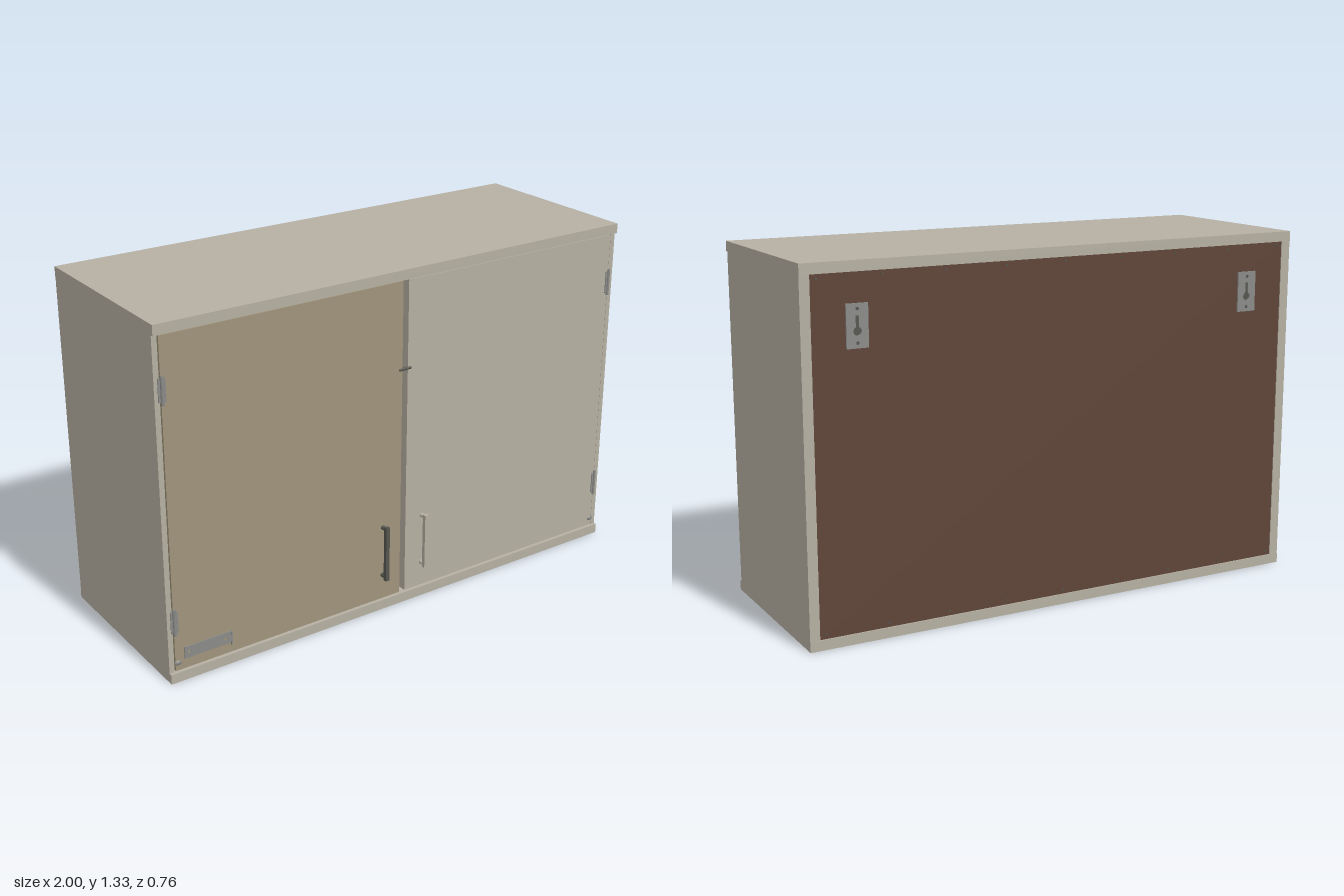
import * as THREE from 'three';

const mat = (color) => new THREE.MeshStandardMaterial({ color });
const BODY = mat(0xb5b0a2), TAN = mat(0xa0947b), BROWN = mat(0x5f4538);
const METAL = mat(0x8a8a88), DARK = mat(0x55554f);

export function createModel() {
  const cabinet = new THREE.Group();
  cabinet.name = 'wallCabinet';

  const add = (name, geometry, material, x = 0, y = 0, z = 0, parent = cabinet) => {
    const mesh = new THREE.Mesh(geometry, material);
    mesh.name = name;
    mesh.position.set(x, y, z);
    parent.add(mesh);
    return mesh;
  };
  // Box given by its lower and upper limits on each axis
  const box = (name, material, [x0, x1], [y0, y1], [z0, z1], parent) =>
    add(name, new THREE.BoxGeometry(x1 - x0, y1 - y0, z1 - z0), material,
      (x0 + x1) / 2, (y0 + y1) / 2, (z0 + z1) / 2, parent);
  // Flat plate with holes, lying in the xy plane
  const plate = (w, h, depth, holes) => {
    const shape = new THREE.Shape();
    shape.moveTo(-w / 2, -h / 2).lineTo(w / 2, -h / 2).lineTo(w / 2, h / 2).lineTo(-w / 2, h / 2).closePath();
    shape.holes.push(...holes);
    return new THREE.ExtrudeGeometry(shape, { depth, bevelEnabled: false, curveSegments: 8 });
  };

  // Carcass
  box('topPanel', BODY, [-1, 1], [1.295, 1.333], [-0.378, 0.353]);
  box('bottomPanel', BODY, [-1, 1], [0, 0.038], [-0.378, 0.353]);
  for (const s of [-1, 1]) {
    const side = box('sidePanel', BODY, [0.98, 1], [0.038, 1.295], [-0.376, 0.341]);
    const inner = box('sideInnerLayer', BODY, [0.963, 0.98], [0.038, 1.295], [-0.376, 0.305]);
    side.position.x *= s;
    inner.position.x *= s;
  }
  box('backPanel', BROWN, [-0.963, 0.963], [0.038, 1.295], [-0.373, -0.36]);
  box('shelf', BODY, [-0.963, 0.963], [0.628, 0.662], [-0.36, 0.28]);

  // Doors
  box('rightDoor', TAN, [-0.978, -0.013], [0.044, 1.291], [0.31, 0.347]);
  box('leftDoor', BODY, [0.011, 0.973], [0.044, 1.291], [0.31, 0.347]);

  // Bow handles
  for (const [x, material] of [[-0.093, DARK], [0.087, BODY]]) {
    const handle = new THREE.Group();
    handle.name = 'handle';
    cabinet.add(handle);
    box('handleBar', material, [x - 0.008, x + 0.008], [0.133, 0.356], [0.366, 0.381], handle);
    for (const y of [0.145, 0.345]) {
      const post = add('handlePost', new THREE.CylinderGeometry(0.007, 0.009, 0.024, 12), material, x, y, 0.357, handle);
      post.rotation.x = Math.PI / 2;
    }
  }

  // Hinges with a barrel and two leaves
  for (const s of [-1, 1]) {
    for (const y of [0.238, 1.102]) {
      const hinge = new THREE.Group();
      hinge.name = 'hinge';
      hinge.position.set(s * 0.974, y, 0);
      cabinet.add(hinge);
      add('hingeBarrel', new THREE.CylinderGeometry(0.006, 0.006, 0.105, 12), METAL, 0, 0, 0.349, hinge);
      add('hingeLeaf', new THREE.BoxGeometry(0.009, 0.085, 0.004), METAL, -s * 0.009, 0, 0.348, hinge);
      add('hingeLeaf', new THREE.BoxGeometry(0.009, 0.085, 0.004), METAL, s * 0.008, 0, 0.342, hinge);
    }
    // Small stop pin at the lower corner
    const pin = add('stopPin', new THREE.SphereGeometry(0.012, 12, 8), METAL, s * 0.967, 0.074, 0.344);
    pin.scale.set(1.3, 0.9, 0.6);
  }

  // Catch spanning the gap between the doors
  const hook = add('catch', new THREE.CapsuleGeometry(0.006, 0.045, 4, 10), DARK, 0, 0.958, 0.345);
  hook.rotation.z = Math.PI / 2;

  // Perforated bracket at the lower corner of the tan door
  const round = (x) => new THREE.Path().absarc(x, 0, 0.007, 0, Math.PI * 2, true);
  add('bracketPlate', plate(0.19, 0.046, 0.004, [round(-0.075), round(0.07)]), METAL, -0.847, 0.107, 0.347);
  box('bracketFlange', METAL, [-0.755, -0.75], [0.075, 0.13], [0.346, 0.353]);

  // Keyhole hanger plates on the back
  for (const x of [-0.8, 0.8]) {
    const key = new THREE.Path();
    key.moveTo(0.006, 0.035).lineTo(0.006, -0.005);
    key.absarc(0, -0.018, 0.015, 1.16, Math.PI - 1.16, true);
    key.lineTo(-0.006, 0.035).closePath();
    add('hangerPlate', plate(0.08, 0.152, 0.006, [key]), METAL, x, 1.114, -0.379);
    box('hangerRecess', DARK, [x - 0.018, x + 0.018], [1.075, 1.155], [-0.3745, -0.372]);
    for (const y of [1.056, 1.172]) {
      const screw = add('hangerScrew', new THREE.CylinderGeometry(0.006, 0.006, 0.003, 10), DARK, x, y, -0.3785);
      screw.rotation.x = Math.PI / 2;
    }
  }

  // Nails along the edges of the back panel
  for (const y of [0.055, 1.28]) {
    for (let i = 0; i < 9; i++) {
      const nail = add('backNail', new THREE.CylinderGeometry(0.004, 0.004, 0.004, 8), DARK, -0.94 + i * 0.235, y, -0.375);
      nail.rotation.x = Math.PI / 2;
    }
  }
  return cabinet;
}
